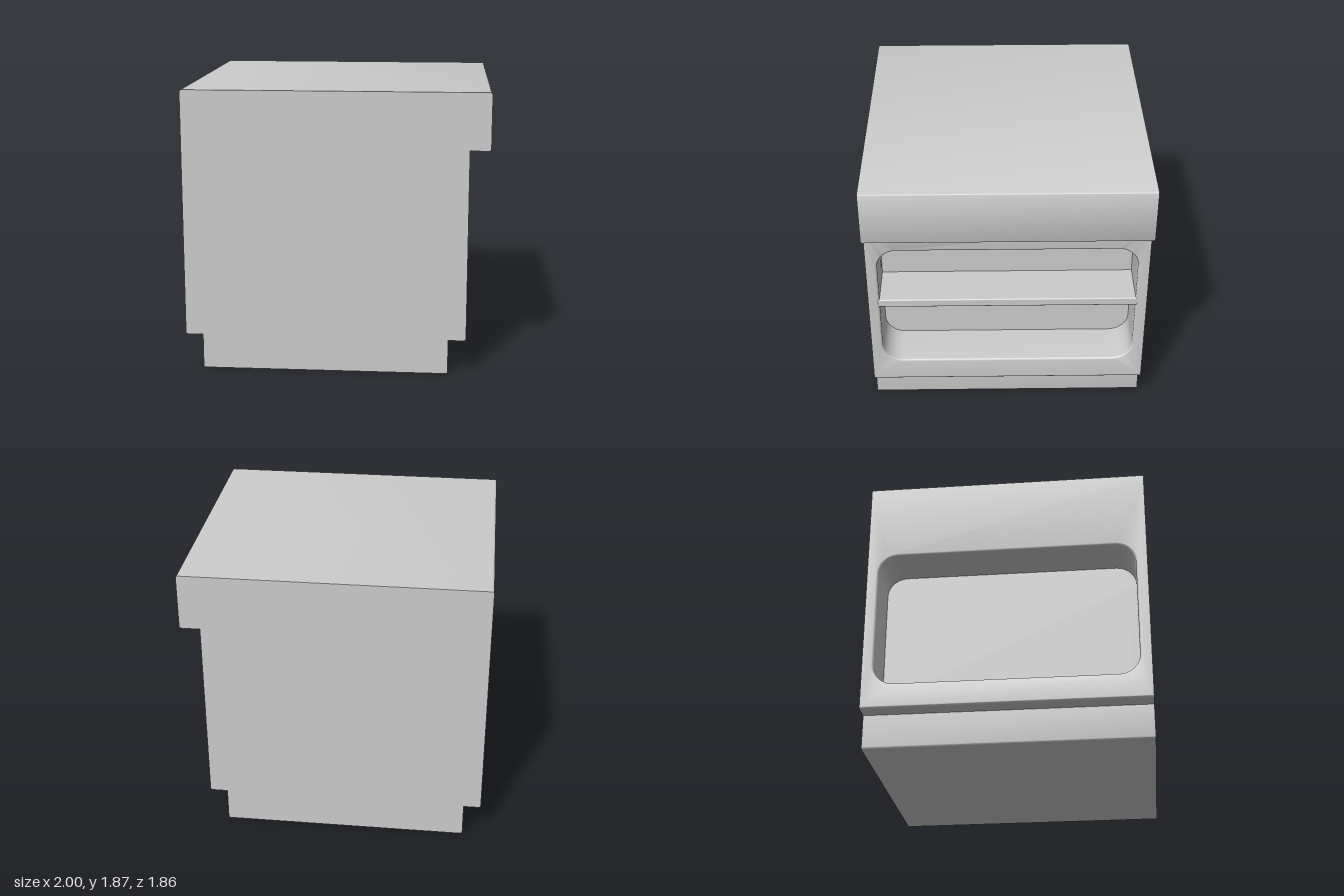
import * as THREE from 'three';
import { mergeGeometries, toCreasedNormals } from 'three/addons/utils/BufferGeometryUtils.js';
import { RoundedBoxGeometry } from 'three/addons/geometries/RoundedBoxGeometry.js';

const HALF = 0.93;    // half the cabinet width along z
const ROUND = 0.015;  // small edge rounding
const OPENING = { w: 0.855, y0: 0.4, y1: 1.335, r: 0.135 };

// Loft quads between consecutive rings of Vector3
function loft(rings, keep = () => true) {
  const pos = [];
  for (let i = 0; i + 1 < rings.length; i++) {
    const A = rings[i], B = rings[i + 1];
    for (let j = 0; j < A.length; j++) {
      const k = (j + 1) % A.length;
      if (!keep(A[j], A[k])) continue;
      for (const p of [A[j], A[k], B[j], A[k], B[k], B[j]]) pos.push(p.x, p.y, p.z);
    }
  }
  const g = new THREE.BufferGeometry();
  g.setAttribute('position', new THREE.Float32BufferAttribute(pos, 3));
  return g;
}

// Flat face with position data only, ready for merging
function flat(shape) {
  const g = new THREE.ShapeGeometry(shape).toNonIndexed();
  g.deleteAttribute('uv');
  g.deleteAttribute('normal');
  return g;
}

// Counter-clockwise outline; corners with r > 0 are rounded by an arc
function outline(corners, steps) {
  const pts = [];
  corners.forEach(([x, y, r], i) => {
    const c = new THREE.Vector2(x, y);
    if (!r) return pts.push(c);
    const toward = (q) => new THREE.Vector2(q[0], q[1]).sub(c).normalize().multiplyScalar(r);
    const a = toward(corners.at(i - 1)), b = toward(corners[(i + 1) % corners.length]);
    for (let s = 0; s <= steps; s++) {
      const t = (s / steps) * Math.PI / 2;
      pts.push(c.clone().addScaledVector(a, 1 - Math.sin(t)).addScaledVector(b, 1 - Math.cos(t)));
    }
  });
  return pts;
}

const at = (pts, z) => pts.map((p) => new THREE.Vector3(p.x, p.y, z));

// Opening outline grown outward by g
function openingLoop(g) {
  const { w, y0, y1, r } = OPENING;
  const R = r + g, X = w + g;
  return outline([[-X, y0 - g, R], [X, y0 - g, R], [X, y1 + g, R], [-X, y1 + g, R]], 10);
}

// Side panel facing +z with a softly edged recess, turned to face +x or -x
function recessedSide(x, sign, yLow, yHigh, depth) {
  const panel = new THREE.Shape(outline(
    [[-HALF, yLow], [HALF, yLow], [HALF, yHigh], [-HALF, yHigh]], 1));
  panel.holes.push(new THREE.Path(openingLoop(ROUND)));
  const rings = [];
  for (let s = 0; s <= 4; s++) {
    const t = (s / 4) * Math.PI / 2;
    rings.push(at(openingLoop(ROUND * (1 - Math.sin(t))), -ROUND * (1 - Math.cos(t))));
  }
  rings.push(at(openingLoop(0), -depth));
  const back = flat(new THREE.Shape(openingLoop(0))).translate(0, 0, -depth);
  return mergeGeometries([flat(panel), loft(rings), back])
    .rotateY(sign * Math.PI / 2).translate(x, 0, 0);
}

export function createModel() {
  const group = new THREE.Group();
  const material = new THREE.MeshStandardMaterial({ color: 0xcccccc });
  const add = (name, geometry) => {
    const mesh = new THREE.Mesh(geometry, material);
    mesh.name = name;
    group.add(mesh);
    return mesh;
  };

  // Cabinet profile: recessed plinth, body and overhanging top
  const r = ROUND;
  const profile = outline([
    [-0.885, 0, r], [0.745, 0, r], [0.745, 0.23, 0], [0.862, 0.23, r], [0.862, 1.495, 0],
    [0.997, 1.495, r], [0.997, 1.868, r], [-1, 1.868, r], [-1, 0.23, r], [-0.885, 0.23, 0],
  ], 4);
  const cap = new THREE.Shape(profile);
  const shell = [
    flat(cap).translate(0, 0, HALF),
    flat(cap).rotateY(Math.PI),
    // The two tall side faces are left out for the recessed panels
    loft([at(profile, HALF), at(profile, -HALF)], (p, q) => Math.abs(p.y - q.y) < 1),
    recessedSide(0.862, 1, 0.23 + r, 1.495, 0.31),
    recessedSide(-1, -1, 0.23 + r, 1.868 - r, 0.32),
  ];
  // Back cap: mirror of the front cap with its winding flipped
  const back = flat(cap).translate(0, 0, -HALF);
  const p = back.attributes.position;
  for (let i = 0; i < p.count; i += 3) {
    const b = new THREE.Vector3().fromBufferAttribute(p, i + 1);
    const c = new THREE.Vector3().fromBufferAttribute(p, i + 2);
    p.setXYZ(i + 1, c.x, c.y, c.z);
    p.setXYZ(i + 2, b.x, b.y, b.z);
  }
  shell[1] = back;
  // Outline runs counter-clockwise, so the wall strip is flipped to face outward
  const wall = shell[2].attributes.position;
  for (let i = 0; i < wall.count; i++) wall.setZ(i, -wall.getZ(i));
  add('cabinetBody', toCreasedNormals(mergeGeometries(shell), 0.6));

  // Shelf across the open compartment
  const shelf = add('shelf', new RoundedBoxGeometry(0.33, 0.06, 1.74, 3, 0.01));
  shelf.position.set(0.697, 0.9, 0);

  return group;
}
